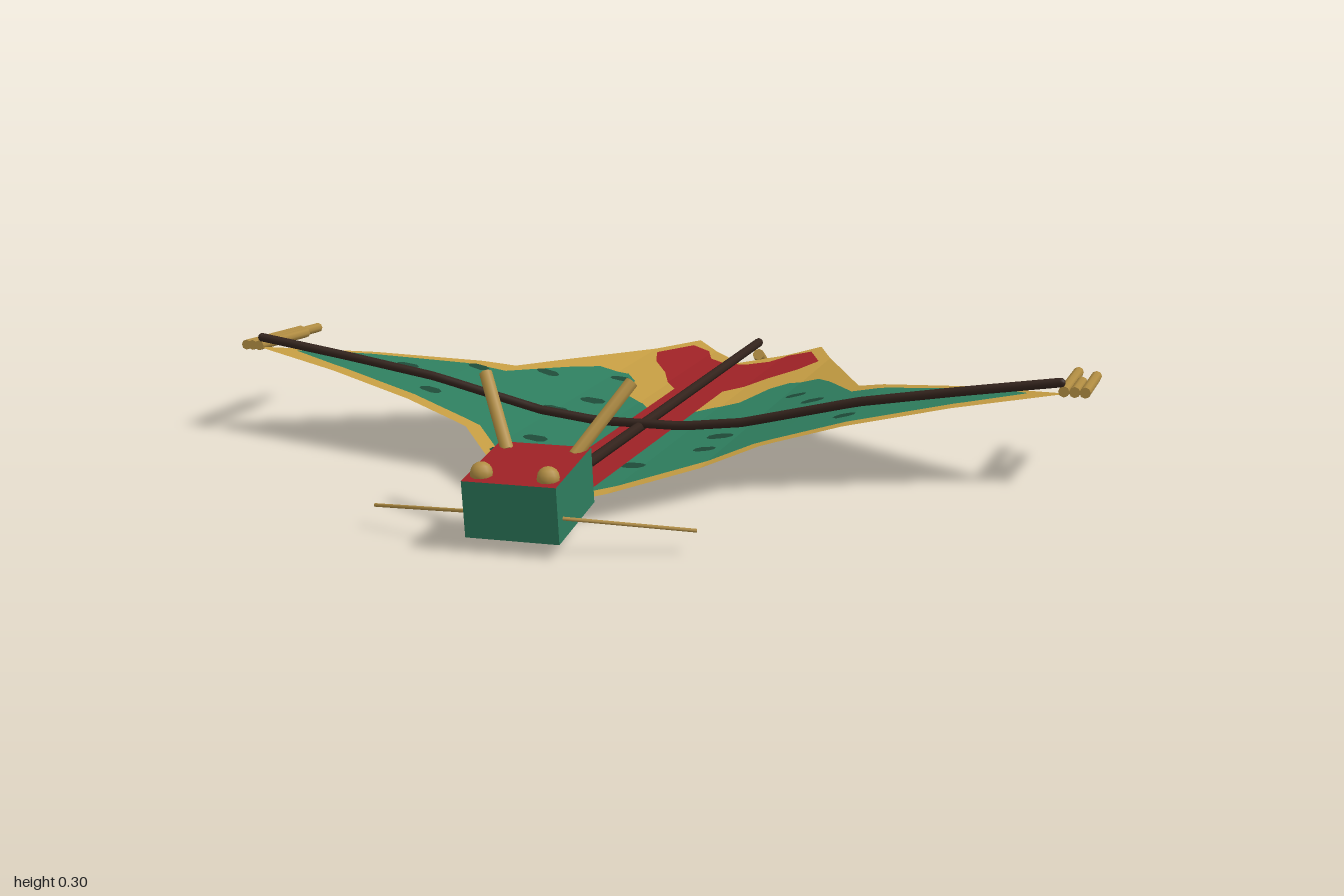
import * as THREE from 'three';

const mat = (name, color) => {
  const m = new THREE.MeshStandardMaterial({ color, side: THREE.DoubleSide });
  m.name = name;
  return m;
};

// linear interpolation through [x, value] points
function at(points, x) {
  for (let i = 1; i < points.length; i++) {
    const [x0, v0] = points[i - 1], [x1, v1] = points[i];
    if (x <= x1 + 1e-9) return v0 + (v1 - v0) * (x - x0) / (x1 - x0);
  }
  return points[points.length - 1][1];
}

// height of the cloth across the span
const LIFT = [[0, 0.065], [0.1, 0.067], [0.24, 0.085], [0.36, 0.116], [0.5, 0.15], [0.72, 0.187], [0.96, 0.216]];

// cloth patch of one wing, between a front edge and a back edge z(x), on both faces of the cloth
function patch(front, back, offset, side) {
  const x0 = front[0][0], x1 = front[front.length - 1][0];
  const xs = [...front, ...back, ...LIFT].map(p => p[0]).filter(x => x >= x0 && x <= x1);
  const cuts = [...new Set(xs)].sort((a, b) => a - b);
  const pos = [];
  for (const o of offset ? [offset, -offset] : [0]) {
    for (let i = 1; i < cuts.length; i++) {
      const corner = (x, edge) => [side * x, at(LIFT, x) + o, at(edge, x)];
      const a = corner(cuts[i - 1], front), b = corner(cuts[i], front);
      const c = corner(cuts[i], back), d = corner(cuts[i - 1], back);
      pos.push(...(side > 0 ? [a, b, c, a, c, d] : [a, c, b, a, d, c]).flat());
    }
  }
  const g = new THREE.BufferGeometry();
  g.setAttribute('position', new THREE.Float32BufferAttribute(pos, 3));
  g.computeVertexNormals();
  return g;
}

export function createModel() {
  const root = new THREE.Group();
  root.name = 'dragonKite';
  const gold = mat('gold cloth', 0xc49c42);
  const green = mat('green cloth', 0x2e7d5e);
  const red = mat('red cloth', 0x9e2226);
  const dark = mat('dark green spots', 0x1e4a38);
  const wood = mat('dark wood', 0x33231c);
  const bamboo = mat('bamboo', 0xb08c42);

  const kite = new THREE.Group();
  kite.name = 'kite';
  kite.position.x = -0.005;
  root.add(kite);

  const add = (name, geometry, material, parent = kite) => {
    const m = new THREE.Mesh(geometry, material);
    m.name = name;
    parent.add(m);
    return m;
  };
  const rod = (name, from, to, r, material, sides = 8) => {
    const a = new THREE.Vector3(...from), b = new THREE.Vector3(...to);
    const m = add(name, new THREE.CylinderGeometry(r, r, a.distanceTo(b), sides), material);
    m.position.copy(a).add(b).multiplyScalar(0.5);
    m.quaternion.setFromUnitVectors(new THREE.Vector3(0, 1, 0), b.sub(a).normalize());
    return m;
  };

  // cloth regions as front and back edges
  const sail = [[[0, 0.8], [0.05, 0.77], [0.335, 0.38], [0.95, 0.155]],
    [[0, -0.73], [0.172, -0.965], [0.432, -0.195], [0.95, 0.15]]];
  const field = [[[0.05, 0.71], [0.315, 0.345], [0.74, 0.19], [0.865, 0.13]],
    [[0.05, -0.08], [0.09, -0.15], [0.14, -0.2], [0.175, -0.36], [0.21, -0.42], [0.285, -0.42],
      [0.33, -0.34], [0.43, -0.12], [0.52, -0.09], [0.84, 0.1], [0.865, 0.125]]];
  const stripe = [[[0, 0.765], [0.035, 0.765], [0.06, 0.69], [0.062, -0.33], [0.1, -0.4], [0.137, -0.5],
    [0.19, -0.6], [0.22, -0.7]],
  [[0, -0.69], [0.03, -0.69], [0.08, -0.74], [0.11, -0.83], [0.165, -0.87], [0.22, -0.71]]];
  // spots as [x, z] on each wing
  const spots = {
    '-1': [[0.21, -0.35], [0.355, -0.215], [0.195, -0.085], [0.485, -0.08], [0.612, 0.06], [0.238, 0.06],
      [0.49, 0.21], [0.19, 0.33], [0.21, 0.475], [0.085, 0.6]],
    '1': [[0.275, -0.215], [0.345, -0.085], [0.48, 0.05], [0.355, 0.065], [0.755, 0.065], [0.2, 0.2],
      [0.2, 0.33], [0.08, 0.465], [0.08, 0.075], [0.48, 0.2]],
  };

  for (const s of [-1, 1]) {
    add('sail', patch(...sail, 0, s), gold);
    add('wingField', patch(...field, 0.0015, s), green);
    add('centreStripe', patch(...stripe, 0.004, s), red);
    spots[s].forEach(([x, z], i) => {
      const r = 0.024 + 0.005 * (i % 3) / 2;
      const edge = k => [-1, -0.5, 0.6, 1].map((t, j) => [x + t * r, z + k * r * [0.4, 0.95, 0.8, 0.3][j]]);
      add('wingSpot', patch(edge(1), edge(-1), 0.003, s), dark);
    });

    // horn, whisker and eye
    rod('horn', [s * 0.07, 0.17, 0.815], [s * 0.155, 0.302, 0.71], 0.014, bamboo);
    rod('whisker', [s * 0.085, 0.083, 0.962], [s * 0.335, 0.053, 0.868], 0.004, bamboo, 6);
    const eye = add('eye', new THREE.SphereGeometry(0.023, 10, 8), bamboo);
    eye.position.set(s * 0.068, 0.16, 0.962);
  }

  // bamboo frame
  rod('spine', [0, 0.083, 0.78], [0, 0.083, -0.945], 0.012, wood);
  const half = [[0.1, 0.091], [0.24, 0.108], [0.5, 0.171], [0.72, 0.207], [0.94, 0.24]];
  const span = [...half.map(([x, y]) => [-x, y]).reverse(), ...half];
  const path = new THREE.CurvePath();
  for (let i = 1; i < span.length; i++) {
    path.add(new THREE.LineCurve3(new THREE.Vector3(span[i - 1][0], span[i - 1][1], 0.16),
      new THREE.Vector3(span[i][0], span[i][1], 0.16)));
  }
  add('crossSpar', new THREE.TubeGeometry(path, 48, 0.0105, 8), wood);
  for (const s of [-1, 1]) {
    const cap = add('sparEnd', new THREE.SphereGeometry(0.0105, 8, 6), wood);
    cap.position.set(s * 0.94, 0.24, 0.16);
  }

  // wing tip pipes as [x, back end z]
  for (const [x, z] of [[-0.95, -0.09], [-0.967, -0.195], [-0.983, -0.13],
    [0.947, -0.15], [0.97, 0], [0.992, -0.1]]) {
    rod('tipPipe', [x, 0.22, 0.16], [x, 0.22 - (0.16 - z) * 0.05, z], 0.012, bamboo);
  }
  rod('tailPipe', [0, 0.05, -0.94], [0, 0.022, -0.99], 0.016, bamboo);

  // head box, tipped forward
  const head = add('head', new THREE.BoxGeometry(0.192, 0.117, 0.212), [green, green, red, red, green, green]);
  head.position.set(0, 0.109, 0.885);
  head.rotation.x = 0.15;

  return root;
}
